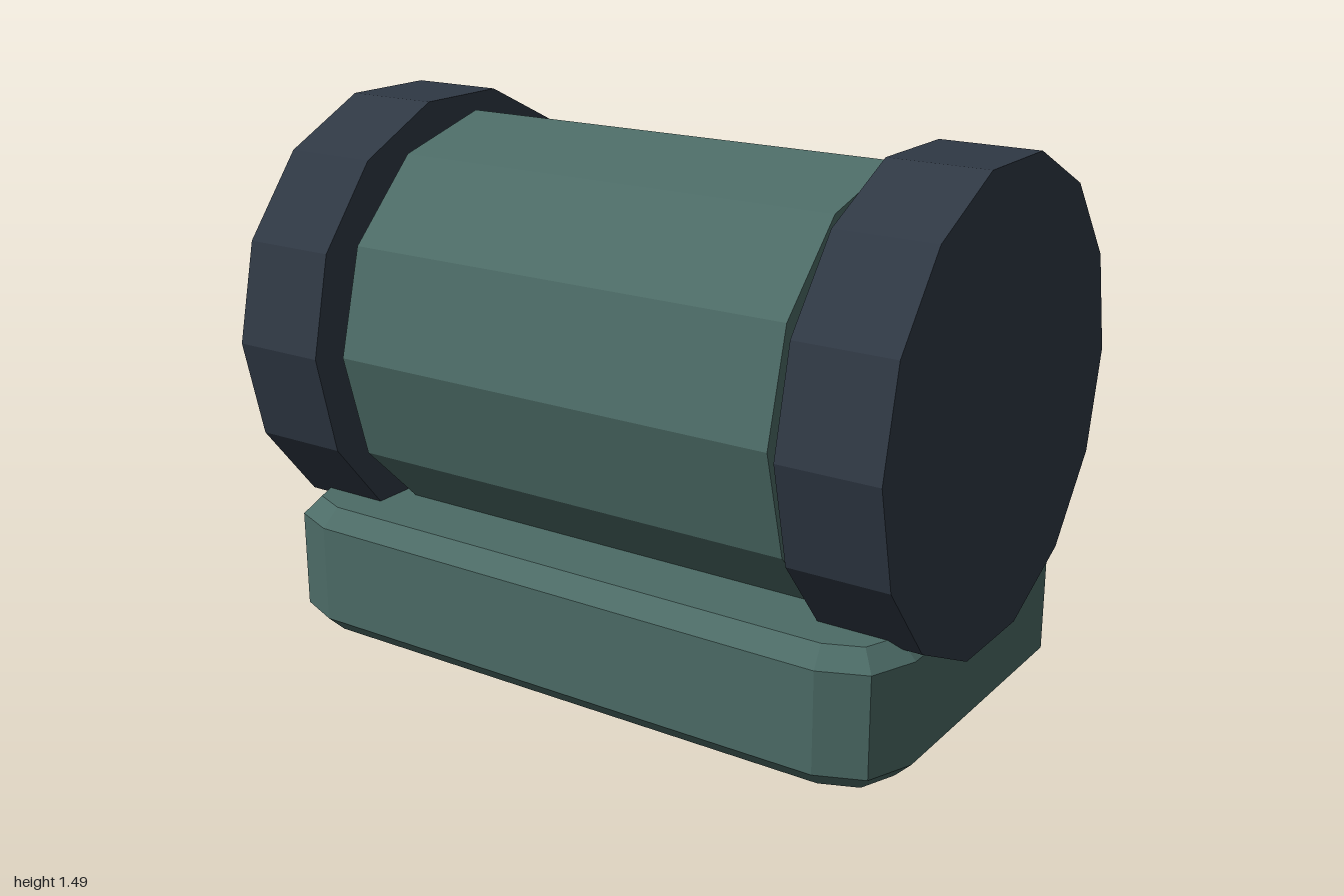
import * as THREE from 'three';

const material = (name, color) => {
  const m = new THREE.MeshStandardMaterial({ color });
  m.name = name;
  m.flatShading = true;
  return m;
};

export function createModel() {
  const model = new THREE.Group();
  model.name = 'drumOnBase';
  const green = material('muted green', 0x4c6b66);
  const navy = material('dark slate', 0x2f3844);
  const axisY = 0.862;

  const add = (name, geometry, mat) => {
    const mesh = new THREE.Mesh(geometry, mat);
    mesh.name = name;
    model.add(mesh);
    return mesh;
  };

  // Faceted cylinder lying along x
  const roller = (name, radius, length, sides, x, mat) => {
    const g = new THREE.CylinderGeometry(radius, radius, length, sides);
    g.rotateZ(Math.PI / 2);
    add(name, g, mat).position.set(x, axisY, 0);
  };

  // Base: rounded rectangle with a single chamfer all round
  const bevel = 0.05, w = 0.98 - bevel, d = 0.575 - bevel, r = 0.14;
  const outline = new THREE.Shape();
  outline.absarc(w - r, d - r, r, 0, Math.PI / 2);
  outline.absarc(r - w, d - r, r, Math.PI / 2, Math.PI);
  outline.absarc(r - w, r - d, r, Math.PI, Math.PI * 1.5);
  outline.absarc(w - r, r - d, r, Math.PI * 1.5, Math.PI * 2);
  outline.closePath();
  const baseGeometry = new THREE.ExtrudeGeometry(outline, {
    depth: 0.28, curveSegments: 1, bevelEnabled: true,
    bevelSegments: 1, bevelSize: bevel, bevelThickness: bevel,
  });
  baseGeometry.rotateX(-Math.PI / 2);
  baseGeometry.translate(0, bevel, 0);
  add('base', baseGeometry, green);

  // Drum and its two end caps
  roller('drum', 0.592, 1.34, 12, 0, green);
  for (const side of [-1, 1]) {
    roller(side > 0 ? 'leftEndCap' : 'rightEndCap', 0.646, 0.28, 14, side * 0.86, navy);
  }
  return model;
}
